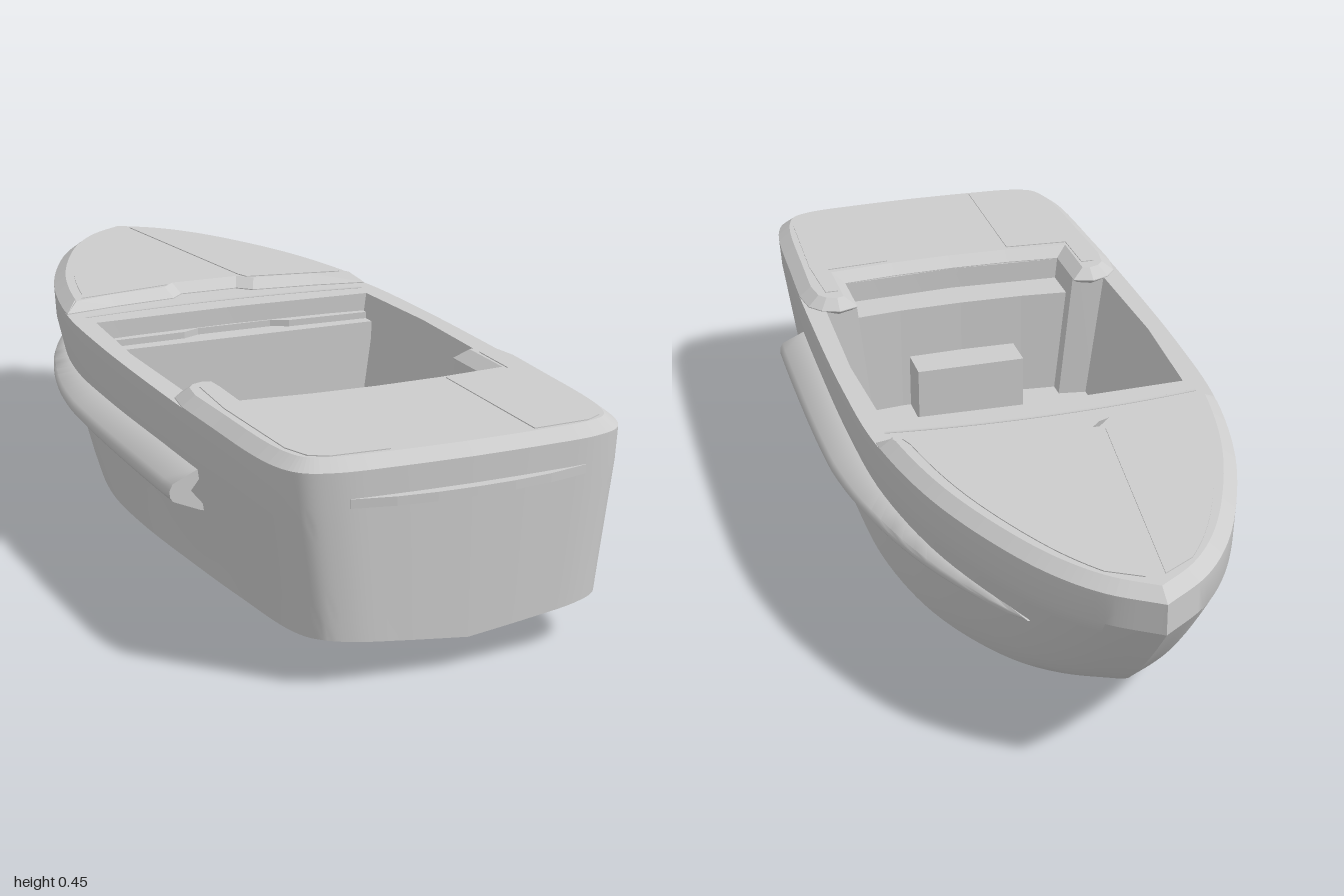
import * as THREE from 'three';
import { toCreasedNormals } from 'three/addons/utils/BufferGeometryUtils.js';

const V = (x, y, z) => new THREE.Vector3(x, y, z);
const STERN = 0.98, FLOOR = 0.12, GUNWALE = 0.425, DECK = 0.448;

// Smooth curve through [value, z] pairs, running from stern to bow
const smooth = (pairs, n = 60) =>
  new THREE.CatmullRomCurve3(pairs.map(([a, z]) => V(a, 0, z))).getPoints(n).map(p => [p.x, p.z]);

// Value of such a curve at a given z
function at(curve, z) {
  let i = 1;
  while (i < curve.length - 1 && curve[i][1] > z) i++;
  const [a0, z0] = curve[i - 1], [a1, z1] = curve[i];
  return a0 + (a1 - a0) * THREE.MathUtils.clamp((z0 - z) / (z0 - z1 || 1), 0, 1);
}

// Skin through rows of points; side = -1 mirrors it in x
function loft(rows, side = 1, crease = 0.5) {
  const m = rows[0].length, pos = [], index = [];
  rows.flat().forEach(p => pos.push(p.x * side, p.y, p.z));
  for (let i = 0; i < rows.length - 1; i++) {
    for (let j = 0; j < m - 1; j++) {
      const a = i * m + j, b = a + 1, c = b + m, d = a + m;
      if (side > 0) index.push(a, b, c, a, c, d);
      else index.push(a, c, b, a, d, c);
    }
  }
  const g = new THREE.BufferGeometry();
  g.setAttribute('position', new THREE.Float32BufferAttribute(pos, 3));
  g.setIndex(index);
  return toCreasedNormals(g, crease);
}

const planShape = pts => new THREE.Shape(pts.map(([x, z]) => new THREE.Vector2(x, -z)));

// Horizontal slab from a plan outline of [x, z] points
function slab(pts, y0, y1) {
  const g = new THREE.ExtrudeGeometry(planShape(pts), { depth: y1 - y0, bevelEnabled: false });
  return g.rotateX(-Math.PI / 2).translate(0, y0, 0);
}

// Deck plate with a chamfer rising from the gunwale to the deck
function chamferedPlate(pts) {
  const g = new THREE.ExtrudeGeometry(planShape(pts), {
    depth: 0.002, bevelEnabled: true, bevelSegments: 1,
    bevelThickness: DECK - GUNWALE - 0.002, bevelSize: 0.028, bevelOffset: -0.028,
  });
  return g.rotateX(-Math.PI / 2).translate(0, GUNWALE, 0);
}

// Half outline plus its mirror image, closed across the centre line
const mirrored = half => [...half, ...half.filter(p => Math.abs(p[0]) > 1e-4).reverse().map(([x, z]) => [-x, z])];

const sheer = smooth([[0, STERN], [0.15, 0.976], [0.27, 0.966], [0.33, 0.94], [0.36, 0.88], [0.38, 0.6],
  [0.388, 0.3], [0.388, 0], [0.375, -0.25], [0.325, -0.5], [0.25, -0.7], [0.175, -0.84], [0.1, -0.93], [0, -1]], 80);
const keelLine = smooth([[0.068, STERN], [0.04, 0.5], [0.008, 0], [0, -0.3], [0.012, -0.5], [0.045, -0.65], [0.095, -0.75]]);
const chineLine = smooth([[0.1, STERN], [0.072, 0.5], [0.043, 0], [0.042, -0.35], [0.062, -0.58], [0.095, -0.75]]);

// Raked stem: how far forward the hull reaches at height fraction v above the chine
const stemZ = v => -0.75 - 0.25 * Math.pow(v, 0.8);
const rowScale = v => 0.876 + 0.112 * v;
const rowZ = (v, z) => STERN - (STERN - z) * (STERN - stemZ(v)) / (STERN + 1);
const hullX = (v, z) => rowScale(v) * at(sheer, STERN - (STERN - z) * (STERN + 1) / (STERN - stemZ(v)));

function hullRows() {
  const chineAt = ([x, z]) => {
    const zc = rowZ(0, z), k = at(keelLine, zc), c = at(chineLine, zc);
    return k + (c - k) * (z > 0.87 ? Math.min(1, x / 0.33) : 1);
  };
  const rows = [sheer.map(([, z]) => V(0, at(keelLine, rowZ(0, z)), rowZ(0, z)))];
  for (let i = 0; i <= 8; i++) {
    const v = i / 8;
    rows.push(sheer.map(p => V(p[0] * rowScale(v), chineAt(p) * (1 - v) + 0.36 * v, rowZ(v, p[1]))));
  }
  rows.push(sheer.map(([x, z]) => V(x, GUNWALE, z)));
  return rows;
}

// Side float: blunt at the stern end, fading into the hull towards the bow
function sponsonRows() {
  const rows = [];
  for (let i = 0; i <= 30; i++) {
    const z = 0.54 - 1.29 * i / 30, s = Math.max(0, z + 0.75);
    const out = 0.064 * Math.min(1, Math.pow(s / 0.7, 0.7)), h = Math.min(1, Math.pow(s / 1.1, 0.45));
    const x = hullX(0.7, z);
    rows.push([[-0.02, 0.05], [0.004, 0.043], [out * 0.9, 0.019], [out, 0.006], [out, -0.008],
      [out * 0.9, -0.018], [0, -0.043], [-0.02, -0.048]].map(([dx, dy]) => V(x + dx, 0.268 + dy * h, z)));
  }
  rows.unshift(rows[0].map(() => V(0.385, 0.268, 0.54)));
  return rows;
}

export function createModel() {
  const boat = new THREE.Group();
  boat.name = 'motorboat';
  const grey = new THREE.MeshStandardMaterial({ color: 0xcccccc });
  const greyOpen = new THREE.MeshStandardMaterial({ color: 0xcccccc, side: THREE.DoubleSide });
  const add = (name, geometry, material = grey) => {
    const mesh = new THREE.Mesh(geometry, material);
    mesh.name = name;
    boat.add(mesh);
  };

  // Hull halves and side floats
  for (const [side, label] of [[1, 'left'], [-1, 'right']]) {
    add(label + 'Hull', loft(hullRows(), side));
    add(label + 'Sponson', loft(sponsonRows(), side, 0.7));
  }

  // Gunwale deck around the cockpit opening
  const opening = mirrored([[0, -0.175], [0.335, -0.165], [0.348, 0.1], [0.34, 0.4], [0.265, 0.41], [0.265, 0.535], [0, 0.55]]);
  const deck = planShape(mirrored(sheer));
  deck.holes.push(new THREE.Path(opening.map(([x, z]) => new THREE.Vector2(x, -z))));
  add('gunwaleDeck', new THREE.ShapeGeometry(deck).rotateX(-Math.PI / 2).translate(0, GUNWALE, 0), greyOpen);

  // Cockpit walls and floor
  const ring = [...opening, opening[0]];
  add('cockpitWalls', loft([
    ring.map(([x, z]) => V(x, GUNWALE, z)),
    ring.map(([x, z]) => V(x * 0.88, FLOOR, z)),
  ], 1, 0.3), greyOpen);
  add('cockpitFloor', slab(opening.map(([x, z]) => [x * 0.88, z]), FLOOR - 0.01, FLOOR));

  // Dashboard shelf, stern ledge and engine box
  add('dashboardShelf', slab(mirrored([[0, -0.18], [0.325, -0.17], [0.325, -0.115], [0, -0.115]]), FLOOR, 0.37));
  add('dashboardLip', slab(mirrored([[0, -0.168], [0.09, -0.168], [0.13, -0.15], [0.325, -0.145], [0.325, -0.16],
    [0.1, -0.18], [0, -0.18]].reverse()), 0.37, 0.385));
  add('sternLedge', slab(mirrored([[0, 0.46], [0.15, 0.456], [0.264, 0.445], [0.264, 0.535], [0, 0.549]]), FLOOR, 0.375));
  add('engineBox', new THREE.BoxGeometry(0.26, 0.13, 0.1).translate(0, FLOOR + 0.065, 0.42));

  // Foredeck with a notched rear edge
  add('foredeck', chamferedPlate(mirrored([[0, -0.325], [0.07, -0.325], [0.1, -0.295], [0.25, -0.278],
    [0.372, -0.255], ...sheer.filter(p => p[1] < -0.28)])));

  // Aft deck with two arms reaching forward beside the cockpit
  add('aftDeck', chamferedPlate(mirrored([[0, 0.55], [0.14, 0.546], [0.265, 0.535], [0.265, 0.4], [0.31, 0.385],
    [0.35, 0.4], [0.375, 0.43], ...sheer.filter(p => p[1] > 0.46).reverse()])));

  // Slightly raised deck panels on each side
  const forePanel = [[0.09, -0.365], [0.1, -0.335], [0.325, -0.295],
    ...sheer.filter(p => p[1] < -0.32 && p[1] > -0.9).map(([x, z]) => [x - 0.05, z]), [0.02, -0.93]];
  const aftPanel = [[0.15, 0.585], [0.298, 0.575], [0.3, 0.45], [0.33, 0.45], [0.338, 0.6], [0.326, 0.86],
    [0.305, 0.915], [0.27, 0.934], [0.15, 0.94]];
  for (const [s, label] of [[1, 'left'], [-1, 'right']]) {
    add(label + 'ForedeckPanel', slab(forePanel.map(([x, z]) => [s * x, z]), DECK - 0.002, DECK + 0.002));
    add(label + 'AftDeckPanel', slab(aftPanel.map(([x, z]) => [s * x, z]), DECK - 0.002, DECK + 0.002));
  }

  // Curved trim in front of the dashboard
  const trim = new THREE.QuadraticBezierCurve3(V(-0.345, GUNWALE, -0.215), V(0, GUNWALE, -0.26), V(0.345, GUNWALE, -0.215));
  add('dashboardTrim', new THREE.TubeGeometry(trim, 20, 0.004, 6));

  // Narrow bowed strip across the transom
  add('transomStrip', slab(mirrored([[0, 0.95], [0.245, 0.95], [0.245, 0.972], [0.16, 0.99], [0.08, 0.998], [0, 1]]), 0.357, 0.375));
  return boat;
}
